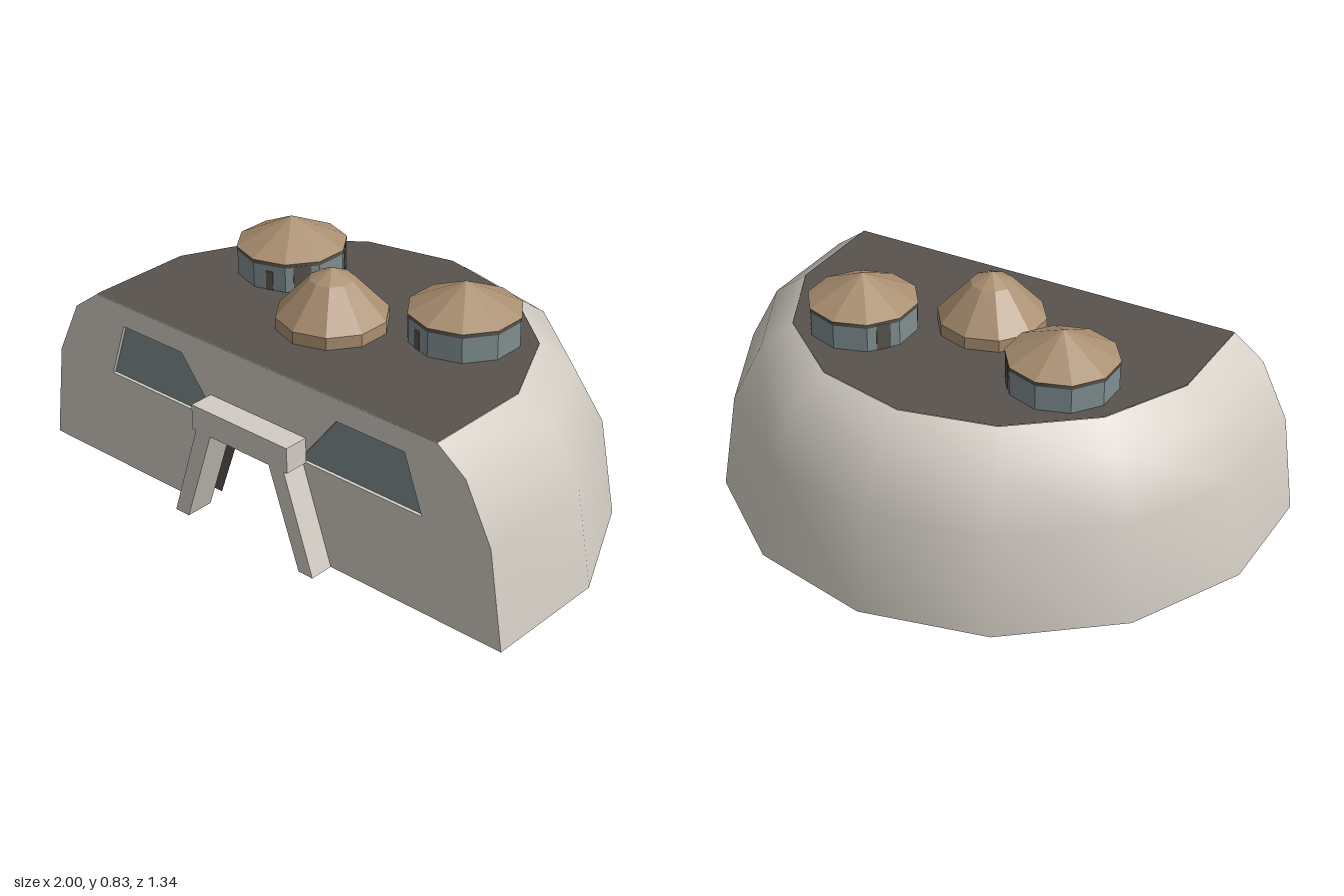
import * as THREE from 'three';

const mat = (name, color, extra = {}) => {
  const m = new THREE.MeshStandardMaterial({ color, ...extra });
  m.name = name;
  return m;
};

export function createModel() {
  const model = new THREE.Group();
  model.name = 'domedBuilding';
  const both = { side: THREE.DoubleSide };
  const plaster = mat('plaster', 0xd2ccc3, both);
  const dark = mat('darkSlate', 0x58534d, both);
  const tan = mat('tanRoof', 0xa98e70, { flatShading: true, ...both });
  const glass = mat('glass', 0x7f8d8f, { flatShading: true, ...both });

  const add = (name, geo, material, x = 0, y = 0, z = 0, parent = model) => {
    const mesh = new THREE.Mesh(geo, material);
    mesh.name = name;
    mesh.position.set(x, y, z);
    parent.add(mesh);
    return mesh;
  };
  const vecs = (pts) => pts.map(([x, y]) => new THREE.Vector2(x, y));
  const shape = (pts) => new THREE.Shape(vecs(pts));
  const mirrored = (pts) => [...pts, ...pts.filter((p) => p[0] !== 0).reverse().map(([x, y]) => [-x, y])];
  const extrude = (s, depth) => new THREE.ExtrudeGeometry(s, { depth, bevelEnabled: false });

  // Curved shell: a half-round plan shrinking upward towards the roof
  const FRONT = 0.58, CENTRE = 0.365;
  const profile = [[1, 0], [0.95, 0.35], [0.85, 0.55], [0.74, 0.63]];
  const halfPlan = [[1, 0.13], [0.8, -0.28], [0.44, -0.57], [0, -0.67]];
  const plan = mirrored(halfPlan);
  const ringAt = (s) => [[s, FRONT], ...plan.map(([x, z]) => [x * s, CENTRE + (z - CENTRE) * s]), [-s, FRONT]];
  const pos = [], idx = [];
  profile.forEach(([s, y], j) => {
    const ring = ringAt(s), n = ring.length;
    ring.forEach(([x, z], i) => {
      pos.push(x, y, z);
      if (j < profile.length - 1 && i < n - 1) {
        const a = j * n + i, b = a + 1, c = a + n, d = c + 1;
        idx.push(a, b, c, b, d, c);
      }
    });
  });
  const shell = new THREE.BufferGeometry();
  shell.setAttribute('position', new THREE.Float32BufferAttribute(pos, 3));
  shell.setIndex(idx);
  shell.computeVertexNormals();
  add('curvedShell', shell, plaster);

  // Flat roof
  const roof = new THREE.ShapeGeometry(shape(ringAt(0.74).map(([x, z]) => [x, -z])));
  roof.rotateX(-Math.PI / 2);
  add('flatRoof', roof, dark, 0, 0.632, 0);

  // Front wall with doorway and window openings
  const wall = shape([
    [-0.25, 0], [-1, 0], [-0.95, 0.35], [-0.85, 0.55], [-0.74, 0.63],
    [0.74, 0.63], [0.85, 0.55], [0.95, 0.35], [1, 0], [0.25, 0], [0.13, 0.35], [-0.13, 0.35],
  ]);
  const windowPts = [[0.18, 0.35], [0.34, 0.55], [0.615, 0.55], [0.685, 0.35]];
  for (const side of [1, -1]) {
    const pts = windowPts.map(([x, y]) => [x * side, y]);
    wall.holes.push(new THREE.Path(vecs(pts)));
    add('frontWindow', new THREE.ShapeGeometry(shape(pts)), glass, 0, 0, FRONT - 0.012);
  }
  add('frontWall', extrude(wall, 0.015), plaster, 0, 0, FRONT - 0.015);

  // Door frame: lintel and splayed jambs
  add('doorLintel', new THREE.BoxGeometry(0.42, 0.09, 0.087), plaster, 0, 0.395, FRONT + 0.0435);
  for (const s of [1, -1]) {
    const jamb = shape([[0.25 * s, 0], [0.31 * s, 0], [0.195 * s, 0.35], [0.13 * s, 0.35]]);
    add('doorJamb', extrude(jamb, 0.087), plaster, 0, 0, FRONT);
    // Dark lining beside the doorway, with a low tan panel on its inner side
    const lining = shape([[0.25 * s, 0.02], [0.44 * s, 0.02], [0.41 * s, 0.35], [0.13 * s, 0.35]]);
    add('doorLining', new THREE.ShapeGeometry(lining), dark, 0, 0, FRONT - 0.07);
    add('liningPanel', new THREE.BoxGeometry(0.15, 0.05, 0.004), tan, 0.34 * s, 0.055, FRONT - 0.073);
  }

  // Inner room: dark walls open at the door, sloping eave, tan domed ceiling
  const room = new THREE.Group();
  room.name = 'innerRoom';
  room.scale.set(1.06, 1, 0.9);
  model.add(room);
  const step = Math.PI / 5;
  add('roomWall', new THREE.CylinderGeometry(0.66, 0.7, 0.29, 8, 1, true, step, step * 8), dark, 0, 0.165, 0, room);
  add('roomEave', new THREE.CylinderGeometry(0.62, 0.66, 0.04, 8, 1, true, step, step * 8), dark, 0, 0.33, 0, room);
  add('roomCeiling', new THREE.LatheGeometry(vecs([[0.62, 0.35], [0.42, 0.5], [0, 0.58]]), 10), tan, 0, 0, 0, room);

  // Dark ribs on the lower slope of the ceiling
  for (let k = 0.5; k < 10; k += 2) {
    const arm = new THREE.Group();
    arm.name = 'ceilingRibArm';
    arm.rotation.y = k * step;
    room.add(arm);
    add('ceilingRib', new THREE.BoxGeometry(0.04, 0.16, 0.005), dark, 0, 0.42, 0.49, arm).rotation.x = -0.903;
  }

  // Pale discs on the side walls of the room
  for (const k of [2.5, 3.5, 6.5, 7.5]) {
    const a = k * step, r = 0.685 * Math.cos(step / 2) - 0.014;
    const disc = add('wallDisc', new THREE.CircleGeometry(0.06, 12), plaster, Math.sin(a) * r, 0.12, Math.cos(a) * r, room);
    disc.rotation.y = a + Math.PI;
  }

  // Ornament on the rear wall of the room
  add('rearDisc', new THREE.CircleGeometry(0.072, 12), plaster, 0, 0.235, -0.572);
  add('rearPennant', new THREE.ShapeGeometry(shape([[0, 0.16], [0.075, 0.31], [-0.075, 0.31]])), tan, 0, 0, -0.568);

  // Two glazed turrets with pointed roofs
  for (const s of [1, -1]) {
    const turret = new THREE.Group();
    turret.name = s > 0 ? 'leftTurret' : 'rightTurret';
    turret.position.set(0.38 * s, 0.63, 0.005);
    model.add(turret);
    add('turretGlass', new THREE.CylinderGeometry(0.189, 0.189, 0.1, 10, 1, true), glass, 0, 0.05, 0, turret);
    add('turretBand', new THREE.CylinderGeometry(0.191, 0.191, 0.014, 10, 1, true), dark, 0, 0.098, 0, turret);
    add('turretRoof', new THREE.ConeGeometry(0.192, 0.095, 10), tan, 0, 0.1525, 0, turret);
    // Dark panels on the inner facets
    for (const [facet, width, height] of [[1.5, 0.06, 0.095], [0.5, 0.025, 0.07], [3.5, 0.05, 0.095]]) {
      const angle = -s * step * facet, r = 0.189 * Math.cos(step / 2) + 0.001;
      const panel = add('turretPanel', new THREE.BoxGeometry(width, height, 0.004), dark,
        Math.sin(angle) * r, height / 2, Math.cos(angle) * r, turret);
      panel.rotation.y = angle;
    }
  }

  // Central faceted dome
  const domeProfile = vecs([[0.19, 0], [0.19, 0.045], [0.075, 0.168], [0, 0.205]]);
  add('centralDome', new THREE.LatheGeometry(domeProfile, 10), tan, 0, 0.63, 0.22);

  return model;
}
